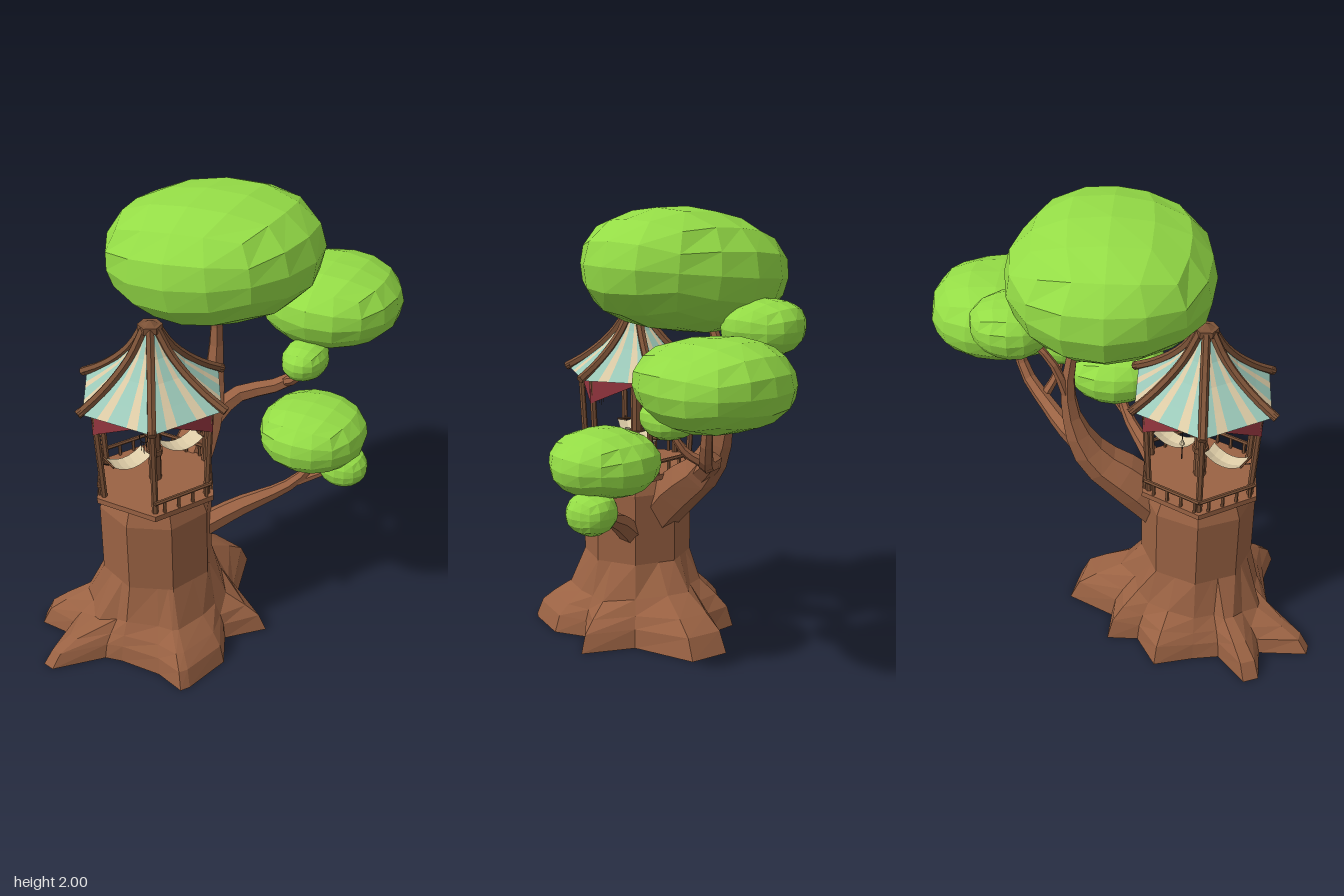
import * as THREE from 'three';

const mat = (name, color, double) => {
  const m = new THREE.MeshStandardMaterial({ color });
  m.name = name;
  if (double) m.side = THREE.DoubleSide;
  return m;
};
const V = (x, y, z) => new THREE.Vector3(x, y, z);
const CX = -0.155, CZ = 0.34; // axis of trunk and pavilion

// point on a circle round the axis, angle in degrees from +x towards +z
const polar = (deg, r, y) => {
  const a = THREE.MathUtils.degToRad(deg);
  return V(CX + Math.cos(a) * r, y, CZ + Math.sin(a) * r);
};
// radius of an octagon with corners every 45 degrees
const octagon = (deg, r) => {
  const half = Math.PI / 8;
  return (r * Math.cos(half)) / Math.cos(THREE.MathUtils.degToRad(deg % 45) - half);
};

// faceted normals
function flat(geo) {
  const g = geo.index ? geo.toNonIndexed() : geo;
  g.computeVertexNormals();
  return g;
}

function fromPoints(points) {
  const g = new THREE.BufferGeometry().setFromPoints(points);
  g.computeVertexNormals();
  return g;
}

export function createModel() {
  const bark = mat('bark', 0x9a6243, true);
  const wood = mat('dark wood', 0x7c5237);
  const leaf = mat('leaf green', 0x94dc46);
  const teal = mat('teal cloth', 0x9dcaba, true);
  const cream = mat('cream cloth', 0xdccba6, true);
  const red = mat('red cloth', 0x96363f, true);
  const dark = mat('dark cord', 0x44342b);

  const model = new THREE.Group();
  model.name = 'treehouse';
  const group = (name) => {
    const g = new THREE.Group();
    g.name = name;
    model.add(g);
    return g;
  };
  const add = (parent, name, geo, material) => {
    const m = new THREE.Mesh(geo, material);
    m.name = name;
    parent.add(m);
    return m;
  };
  // straight round bar between two points
  const bar = (parent, name, a, b, r, material = wood, sides = 6) => {
    const m = add(parent, name, flat(new THREE.CylinderGeometry(r, r, a.distanceTo(b), sides)), material);
    m.position.copy(a).lerp(b, 0.5);
    m.quaternion.setFromUnitVectors(V(0, 1, 0), b.clone().sub(a).normalize());
  };
  // tapering tube through points [x, y, z, radius]
  const limb = (parent, name, pts, material = bark, sides = 6) => {
    const curve = new THREE.CatmullRomCurve3(pts.map((p) => V(p[0], p[1], p[2])));
    const segs = pts.length * 2;
    const g = new THREE.TubeGeometry(curve, segs, 1, sides);
    const pos = g.attributes.position, v = V(0, 0, 0);
    for (let i = 0; i <= segs; i++) {
      const c = curve.getPointAt(i / segs);
      const t = (i / segs) * (pts.length - 1), k = Math.min(Math.floor(t), pts.length - 2);
      const r = THREE.MathUtils.lerp(pts[k][3], pts[k + 1][3], t - k);
      for (let j = 0; j <= sides; j++) {
        const n = i * (sides + 1) + j;
        v.fromBufferAttribute(pos, n).sub(c).multiplyScalar(r).add(c);
        pos.setXYZ(n, v.x, v.y, v.z);
      }
    }
    add(parent, name, flat(g), material);
  };

  // Trunk: octagonal rings that spread into roots; [angle, root reach, root height]
  const roots = [
    [0, 0.34, 1], [19, 0.43, 1], [45, 0.49, 1], [50, 0.5, 1], [61, 0.39, 1], [90, 0.345, 1],
    [102, 0.37, 0.9], [115, 0.586, 0.8], [120, 0.6, 0.8], [135, 0.43, 0.9], [147, 0.545, 1], [154.6, 0.535, 1],
    [161, 0.36, 1], [180, 0.36, 1], [203, 0.44, 1.1], [225, 0.36, 1], [237, 0.47, 1.2],
    [254, 0.4, 1.2], [270, 0.59, 1.2], [288, 0.58, 1.2], [315, 0.37, 1.1], [344, 0.5, 1],
  ];
  const levels = [[0, 0.29, 1], [0.08, 0.285, 0.86], [0.13, 0.28, 0.6], [0.19, 0.275, 0.23],
    [0.36, 0.252, 0], [0.69, 0.252, 0], [0.77, 0.22, 0]];
  const rings = levels.map(([y, r, f], k) => roots.map(([a, reach, h]) => {
    const core = octagon(a, r);
    return polar(a, core + (reach - core) * f, k < 4 ? y * h : y);
  }));
  const tris = [];
  const top = rings[rings.length - 1];
  roots.forEach((_, i) => {
    const j = (i + 1) % roots.length;
    for (let k = 0; k < rings.length - 1; k++) {
      const a = rings[k][i], b = rings[k][j], c = rings[k + 1][i], d = rings[k + 1][j];
      tris.push(a, c, b, b, c, d);
    }
    tris.push(V(CX, 0.77, CZ), top[j], top[i]);
  });
  add(model, 'trunk', fromPoints(tris), bark);

  // Branches
  const branches = group('branches');
  limb(branches, 'mainBranch', [[-0.15, 0.56, 0.2, 0.1], [-0.15, 0.72, 0.05, 0.11], [-0.15, 0.86, -0.12, 0.08],
    [-0.155, 1.05, -0.21, 0.04], [-0.15, 1.3, -0.225, 0.027], [-0.12, 1.55, -0.15, 0.018]]);
  limb(branches, 'backBranch', [[-0.15, 0.8, -0.06, 0.06], [-0.06, 0.92, -0.24, 0.045], [0.1, 0.96, -0.36, 0.036],
    [0.21, 1.04, -0.46, 0.029], [0.26, 1.25, -0.52, 0.02]]);
  limb(branches, 'smallBranch', [[0.12, 0.97, -0.38, 0.025], [0.2, 1.03, -0.33, 0.018], [0.26, 1.15, -0.29, 0.013]]);
  limb(branches, 'upperBranch', [[-0.155, 1.15, -0.22, 0.027], [-0.17, 1.36, -0.29, 0.018], [-0.14, 1.5, -0.42, 0.013]]);
  limb(branches, 'sideBranch', [[0.0, 0.5, 0.22, 0.055], [0.14, 0.6, 0.14, 0.047], [0.34, 0.71, 0.0, 0.032],
    [0.42, 0.82, -0.05, 0.022], [0.42, 0.95, -0.06, 0.018]]);
  limb(branches, 'sideTwig', [[0.36, 0.72, -0.01, 0.022], [0.44, 0.75, -0.07, 0.018], [0.52, 0.79, -0.12, 0.013]]);

  // Foliage: faceted clumps, fuller above than below; [centre, radii, tilt]
  const foliage = group('foliage');
  [
    [[-0.07, 1.73, -0.045], [0.465, 0.266, 0.43], 0.1],
    [[0.265, 1.352, -0.56], [0.322, 0.185, 0.32], 0],
    [[-0.14, 1.52, -0.45], [0.178, 0.122, 0.178], 0],
    [[0.405, 0.97, -0.06], [0.232, 0.142, 0.238], 0],
    [[0.26, 1.17, -0.29], [0.1, 0.085, 0.13], 0],
    [[0.53, 0.79, -0.125], [0.11, 0.09, 0.105], 0],
  ].forEach(([c, r, tilt], n) => {
    const g = new THREE.BoxGeometry(2, 2, 2, 4, 4, 4);
    const pos = g.attributes.position, v = V(0, 0, 0);
    for (let i = 0; i < pos.count; i++) {
      v.fromBufferAttribute(pos, i);
      v.set(Math.tan(v.x * 0.785), Math.tan(v.y * 0.785), Math.tan(v.z * 0.785)).normalize();
      const p = v.y > 0 ? 2.4 : 2.1;
      v.divideScalar(Math.pow(Math.hypot(v.x, v.z) ** p + Math.abs(v.y) ** p, 1 / p));
      v.multiplyScalar(1 + 0.02 * Math.sin(v.x * 3 + v.y * 2 + v.z * 4 + n * 2));
      pos.setXYZ(i, v.x * r[0], v.y * r[1], v.z * r[2]);
    }
    const clump = add(foliage, 'leafClump', flat(g), leaf);
    clump.position.set(...c);
    clump.rotation.z = tilt;
  });

  // Pavilion floor, centre post, corner posts and railing
  const house = group('pavilion');
  add(house, 'floor', flat(new THREE.CylinderGeometry(0.285, 0.285, 0.025, 6, 1, false, Math.PI / 6)), bark)
    .position.set(CX, 0.78, CZ);
  bar(house, 'centrePost', V(CX, 0.78, CZ), V(CX, 1.53, CZ), 0.028, wood, 8);
  bar(house, 'postCollar', V(CX, 0.92, CZ), V(CX, 0.945, CZ), 0.036, wood, 8);
  bar(house, 'roofCap', V(CX, 1.52, CZ), V(CX, 1.548, CZ), 0.052);
  add(house, 'roofTip', flat(new THREE.ConeGeometry(0.04, 0.02, 6)), wood).position.set(CX, 1.556, CZ);

  const profile = [[0.03, 1.525], [0.09, 1.425], [0.16, 1.35], [0.25, 1.28], [0.345, 1.225]];
  const stripes = [0, 0.21, 0.36, 0.64, 0.79, 1];
  const cloth = { teal: [], cream: [] }, drape = [];
  for (let s = 0; s < 6; s++) {
    const a = s * 60, b = a + 60;
    bar(house, 'cornerPost', polar(a, 0.25, 0.78), polar(a, 0.275, 1.25), 0.014);
    limb(house, 'roofBeam', profile.map(([r, y]) => {
      const p = polar(a, r, y + 0.008);
      return [p.x, p.y, p.z, 0.019];
    }), wood);
    bar(house, 'beamEnd', polar(a, 0.325, 1.243), polar(a, 0.345, 1.233), 0.019);

    // railing on every side but the front
    if (s !== 1) {
      const p = polar(a, 0.272, 0.85), q = polar(b, 0.272, 0.85);
      bar(house, 'handrail', p, q, 0.009);
      for (let i = 0; i < 4; i++) {
        const t = p.clone().lerp(q, i / 4 + 0.08);
        bar(house, 'baluster', V(t.x, 0.79, t.z), t, 0.008, wood, 5);
      }
    }

    // striped roof cloth
    const at = (u, k) => {
      const [r, y] = profile[k], rr = Math.min(r, 0.325);
      return polar(a, rr, y).lerp(polar(b, rr, y), u);
    };
    for (let i = 0; i < 5; i++) {
      for (let k = 0; k < profile.length - 1; k++) {
        const p = at(stripes[i], k), q = at(stripes[i + 1], k);
        const m = at(stripes[i], k + 1), n = at(stripes[i + 1], k + 1);
        cloth[i % 2 ? 'cream' : 'teal'].push(p, q, m, q, n, m);
      }
    }
    // bunting, deepest at every other corner
    const p = polar(a, 0.285, 1.24), q = polar(b, 0.285, 1.24);
    const low = s % 2 ? q : p;
    drape.push(p, q, V(low.x, 1.115, low.z));
  }
  add(house, 'tealStripes', fromPoints(cloth.teal), teal);
  add(house, 'creamStripes', fromPoints(cloth.cream), cream);
  add(house, 'bunting', fromPoints(drape), red);

  // Two hammocks slung from the centre post to opposite corner posts
  for (const deg of [120, 300]) {
    const side = polar(deg + 90, 1, 0).sub(V(CX, 0, CZ));
    const sag = (t, w) => polar(deg, 0.04 + 0.18 * t, 0.905 + 0.14 * (t - 0.5) ** 2 + 0.012 * w * w)
      .addScaledVector(side, w * 0.045);
    const sling = [];
    for (let i = 0; i < 6; i++) {
      for (const w of [-1, 0]) {
        const t = i / 6, u = (i + 1) / 6;
        const a = sag(t, w), b = sag(t, w + 1), c = sag(u, w), d = sag(u, w + 1);
        sling.push(a, c, b, b, c, d);
      }
    }
    add(house, 'hammock', fromPoints(sling), cream);
    bar(house, 'hammockSpreader', sag(1, -1), sag(1, 1), 0.005, wood, 5);
    bar(house, 'hammockCord', sag(1, 0), polar(deg, 0.255, 0.96), 0.003, dark, 4);
  }

  // Hanging chime and ring ornament
  bar(house, 'chimeCord', V(-0.37, 1.23, 0.26), V(-0.37, 1.1, 0.26), 0.0015, dark, 4);
  add(house, 'chimeBell', flat(new THREE.ConeGeometry(0.013, 0.028, 6)), cream).position.set(-0.37, 1.13, 0.26);
  bar(house, 'chimeRod', V(-0.37, 1.1, 0.26), V(-0.37, 1.04, 0.26), 0.003, dark, 5);
  bar(house, 'ringCord', V(-0.095, 1.23, 0.52), V(-0.095, 1.14, 0.52), 0.0015, dark, 4);
  add(house, 'hangingRing', new THREE.TorusGeometry(0.02, 0.002, 5, 16), dark).position.set(-0.095, 1.12, 0.52);
  for (const d of [-0.013, 0, 0.013]) {
    bar(house, 'ringTassel', V(-0.095 + d, 1.1, 0.52), V(-0.095 + d, 1.045 + Math.abs(d), 0.52), 0.002, dark, 4);
  }

  return model;
}
